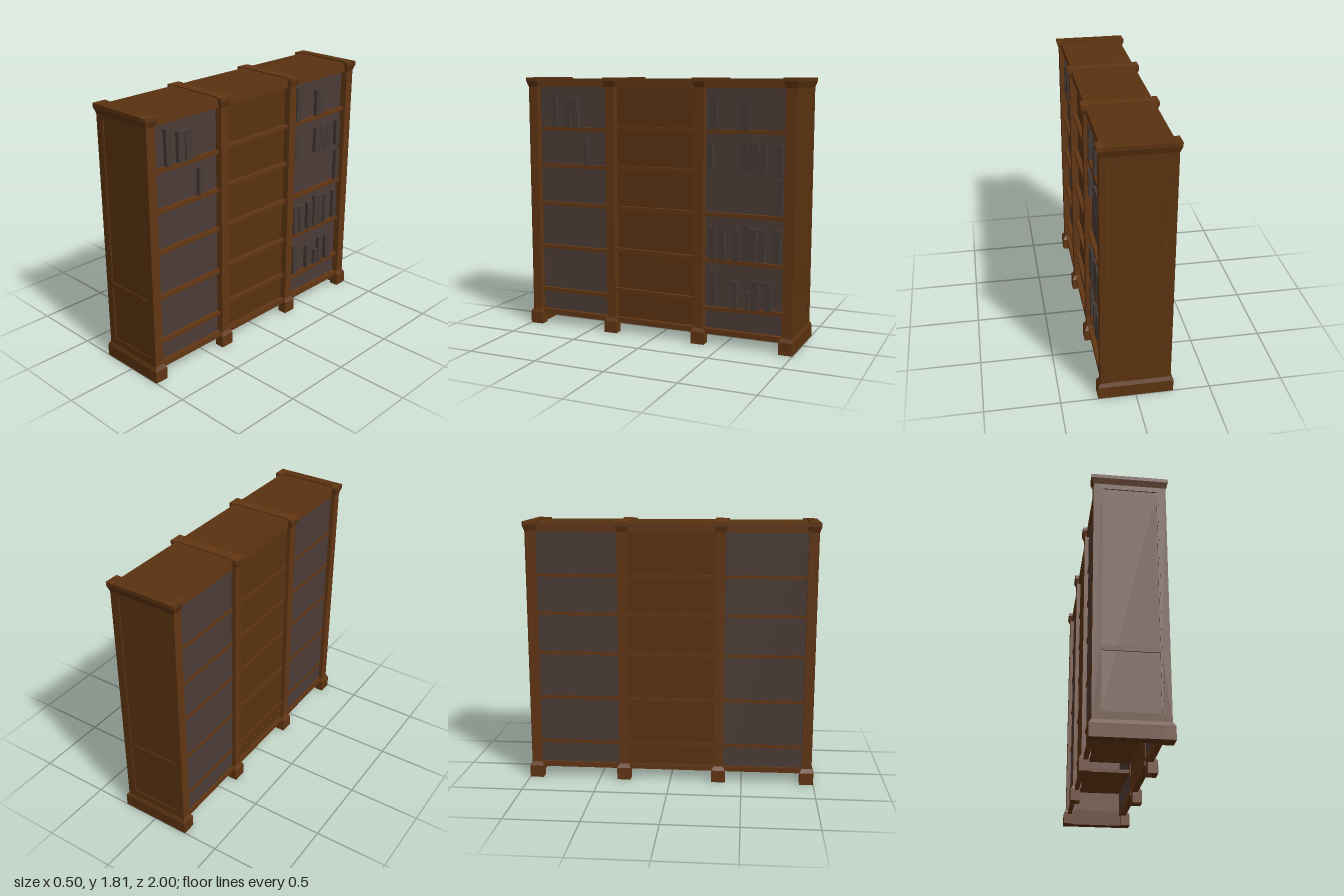
import * as THREE from 'three';

const mat = (name, color) => {
  const m = new THREE.MeshStandardMaterial({ color });
  m.name = name;
  return m;
};

export function createModel() {
  const wood = mat('wood', 0x5a3210);
  const trim = mat('trimWood', 0x623613);
  const grey = mat('greyPanel', 0x4b3c37);
  const bookMat = mat('bookGrey', 0x453a35);
  const root = new THREE.Group();

  const add = (name, geo, material, parent = root) => {
    const m = new THREE.Mesh(geo, material);
    m.name = name;
    parent.add(m);
    return m;
  };
  // box from its limits on each axis
  const box = (name, x0, x1, y0, y1, z0, z1, material, parent) => {
    const m = add(name, new THREE.BoxGeometry(x1 - x0, y1 - y0, z1 - z0), material, parent);
    m.position.set((x0 + x1) / 2, (y0 + y1) / 2, (z0 + z1) / 2);
    return m;
  };
  // box whose bottom and top rectangles [x0, x1, z0, z1] differ
  const taper = (name, y0, y1, low, high, material, parent) => {
    const geo = new THREE.BoxGeometry(1, 1, 1);
    const p = geo.attributes.position;
    for (let i = 0; i < p.count; i++) {
      const up = p.getY(i) > 0;
      const r = up ? high : low;
      p.setXYZ(i, p.getX(i) < 0 ? r[0] : r[1], up ? y1 : y0, p.getZ(i) < 0 ? r[2] : r[3]);
    }
    geo.computeVertexNormals();
    return add(name, geo, material, parent);
  };

  // eight posts with flared feet and capitals
  for (const side of [-1, 1]) {
    for (const z of [0.952, 0.338, -0.327, -0.952]) {
      const post = new THREE.Group();
      post.name = 'post';
      post.position.z = z;
      root.add(post);
      const rect = (inner, outer, half) =>
        side > 0 ? [inner, outer, -half, half] : [-outer, -inner, -half, half];
      const slim = rect(0.175, 0.235, 0.033);
      const foot = rect(0.185, 0.252, 0.048);
      const cap = rect(0.205, 0.25, 0.048);
      const capBase = rect(0.2, 0.236, 0.034);
      taper('foot', 0, 0.085, foot, foot, trim, post);
      taper('footChamfer', 0.085, 0.112, foot, slim, trim, post);
      taper('shaft', 0.112, 1.8, slim, slim, trim, post);
      taper('capitalFlare', 1.745, 1.785, capBase, cap, trim, post);
      taper('capital', 1.785, 1.81, cap, cap, trim, post);
    }
  }

  // framed panels closing both ends
  for (const dir of [1, -1]) {
    const end = new THREE.Group();
    end.name = 'endPanel';
    if (dir < 0) end.rotation.y = Math.PI;
    root.add(end);
    box('endBoard', -0.2, 0.2, 0.07, 1.8, 0.935, 0.98, wood, end);
    const frame = new THREE.Shape();
    frame.moveTo(-0.235, 0.1).lineTo(0.235, 0.1).lineTo(0.235, 1.77).lineTo(-0.235, 1.77).closePath();
    for (const [y0, y1] of [[0.16, 0.55], [0.585, 1.71]]) {
      const hole = new THREE.Path();
      hole.moveTo(-0.185, y0).lineTo(-0.185, y1).lineTo(0.185, y1).lineTo(0.185, y0).closePath();
      frame.holes.push(hole);
    }
    const fg = new THREE.ExtrudeGeometry(frame, { depth: 0.01, bevelEnabled: false });
    add('endFrame', fg, wood, end).position.z = 0.977;
    // plinth and cornice across the end
    const plinth = [-0.252, 0.252, 0.93, 1];
    const cornice = [-0.25, 0.25, 0.93, 1];
    const body = [-0.236, 0.236, 0.93, 0.987];
    taper('plinth', 0, 0.085, plinth, plinth, wood, end);
    taper('plinthChamfer', 0.085, 0.112, plinth, body, wood, end);
    taper('corniceFlare', 1.745, 1.785, body, cornice, wood, end);
    taper('cornice', 1.785, 1.81, cornice, cornice, wood, end);
  }

  // top board and the ribs over the inner posts
  box('topBoard', -0.216, 0.212, 1.775, 1.802, -0.95, 0.95, wood);
  for (const z of [0.338, -0.327]) box('topRib', -0.23, 0.23, 1.79, 1.81, z - 0.034, z + 0.034, trim);

  // three bays: z range, panel colour, shelf heights on the open side
  const bays = [
    [0.371, 0.919, grey, [0.26, 0.583, 0.902, 1.18, 1.445]],
    [-0.294, 0.305, wood, [0.308, 0.597, 0.902, 1.187, 1.462]],
    [-0.919, -0.36, grey, [0.256, 0.583, 0.902, 1.458]],
  ];
  const tilts = [[0, 0, 0, 0, 0], [-0.01, -0.012, 0, 0, 0], [0.025, -0.008, 0, 0.008]];
  bays.forEach(([z0, z1, panel, shelves], b) => {
    const bay = new THREE.Group();
    bay.name = 'bay';
    root.add(bay);
    box('frontPanel', 0.177, 0.187, 0.1, 1.78, z0 - 0.01, z1 + 0.01, panel, bay);
    box('backPanel', -0.207, -0.197, 0.08, 1.78, z0 - 0.01, z1 + 0.01, panel, bay);
    box('frontHeader', 0.16, 0.22, 1.742, 1.8, z0 - 0.01, z1 + 0.01, trim, bay);
    box('backHeader', -0.22, -0.19, 1.742, 1.8, z0 - 0.01, z1 + 0.01, trim, bay);
    box('frontRail', 0.175, 0.222, 0.073, 0.11, z0 - 0.01, z1 + 0.01, trim, bay);
    box('backRail', -0.222, -0.195, 0.073, 0.11, z0 - 0.01, z1 + 0.01, trim, bay);
    shelves.forEach((y, i) => {
      const s = box('shelf', -0.2, 0.216, y - 0.013, y + 0.013, z0 - 0.01, z1 + 0.01, trim, bay);
      s.rotation.x = tilts[b][i] * 1.2;
    });
    // slim shelf edges on the other long side
    for (const y of bays[0][3]) box('backShelfEdge', -0.214, -0.2, y - 0.011, y + 0.011, z0, z1, trim, bay);
  });

  // books, row by row: base height, then [z centre, width, top, lean]
  const rows = [
    [1.458, [[0.795, 0.045, 1.7, 0.03], [0.69, 0.055, 1.66, 0], [0.63, 0.05, 1.66, 0.05]]],
    [1.193, [[0.537, 0.022, 1.38, -0.03]]],
    [1.47, [[-0.42, 0.046, 1.71, -0.03], [-0.64, 0.058, 1.66, 0]]],
    [1.19, [[-0.4, 0.036, 1.38, 0.04], [-0.64, 0.05, 1.38, -0.03], [-0.686, 0.036, 1.385, -0.03],
      [-0.724, 0.036, 1.385, 0.02], [-0.766, 0.042, 1.38, 0], [-0.873, 0.042, 1.385, 0.02]]],
    [0.917, [[-0.88, 0.04, 1.15, -0.04]]],
    [0.598, [[-0.42, 0.046, 0.82, 0.03], [-0.482, 0.05, 0.81, 0.03], [-0.58, 0.054, 0.81, 0],
      [-0.655, 0.05, 0.84, -0.03], [-0.704, 0.042, 0.82, -0.05], [-0.765, 0.042, 0.82, 0], [-0.872, 0.042, 0.82, 0]]],
    [0.268, [[-0.42, 0.044, 0.51, 0.04], [-0.575, 0.042, 0.455, 0], [-0.667, 0.03, 0.39, -0.04],
      [-0.72, 0.05, 0.47, -0.04], [-0.808, 0.055, 0.47, 0.06]]],
  ];
  for (const [y, books] of rows) {
    for (const [z, w, top, lean] of books) {
      box('book', 0.18, 0.216, y, top, z - w / 2, z + w / 2, bookMat).rotation.x = lean;
    }
  }
  return root;
}
